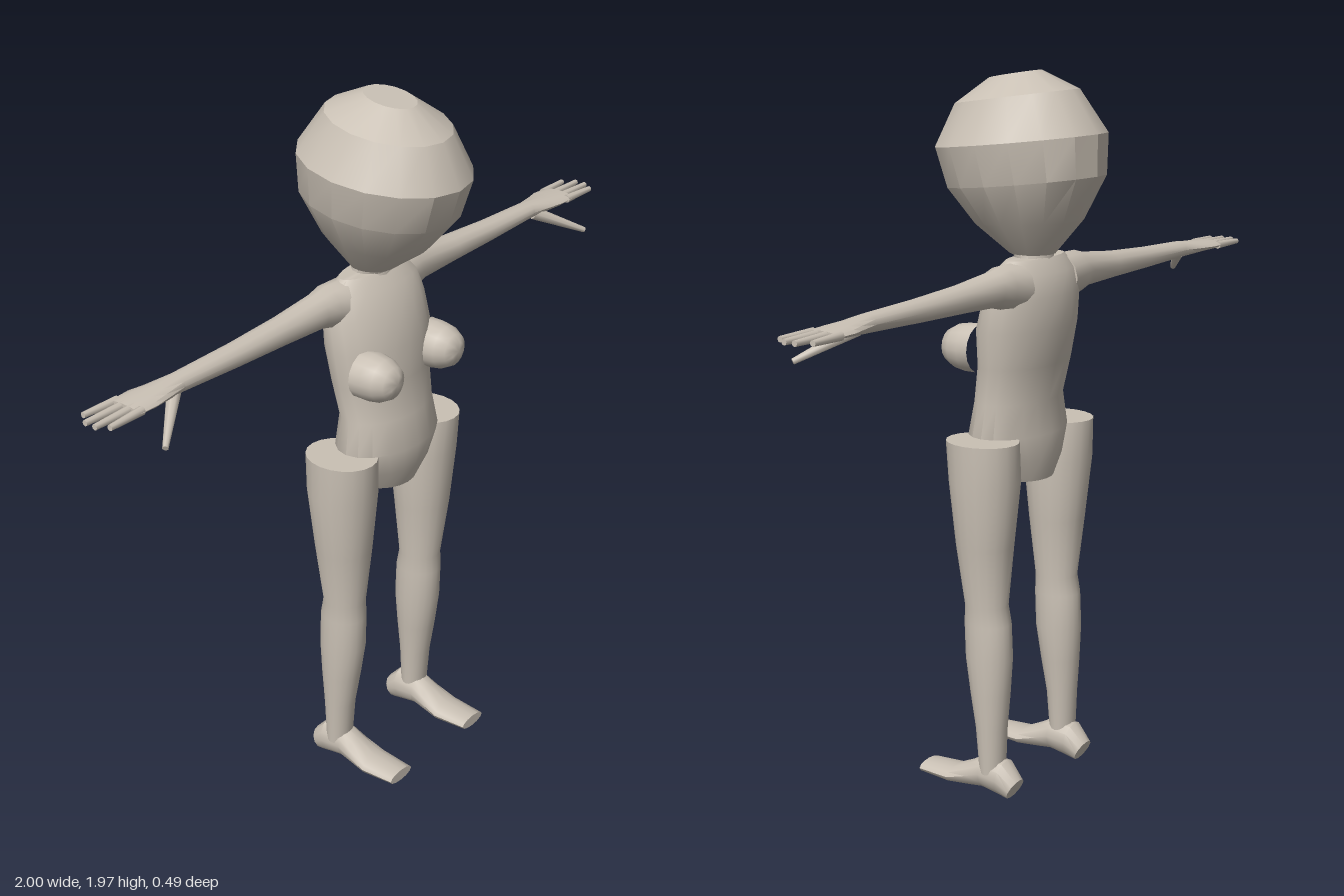
import * as THREE from 'three';
import { toCreasedNormals } from 'three/addons/utils/BufferGeometryUtils.js';

// Closed loft along y. Each ring: [y, centreX, centreZ, radiusX, radiusZ, slope of y over z]
function loft(rings, segs = 16, crease = 0.5) {
  const pos = [], index = [];
  for (const [y, cx, cz, rx, rz, slope = 0] of rings) {
    for (let j = 0; j < segs; j++) {
      const a = (j / segs) * Math.PI * 2;
      const dz = Math.cos(a) * rz;
      pos.push(cx + Math.sin(a) * rx, y + slope * dz, cz + dz);
    }
  }
  const last = rings.length - 1;
  const bottom = rings.length * segs, top = bottom + 1;
  for (const i of [0, last]) pos.push(rings[i][1], rings[i][0], rings[i][2]);
  for (let j = 0; j < segs; j++) {
    const k = (j + 1) % segs;
    for (let i = 0; i < last; i++) {
      const a = i * segs + j, b = i * segs + k, c = b + segs, d = a + segs;
      index.push(a, b, c, a, c, d);
    }
    index.push(bottom, k, j, top, last * segs + j, last * segs + k);
  }
  const geo = new THREE.BufferGeometry();
  geo.setAttribute('position', new THREE.Float32BufferAttribute(pos, 3));
  geo.setIndex(index);
  return toCreasedNormals(geo, crease);
}

export function createModel() {
  const model = new THREE.Group();
  model.name = 'mannequin';
  const skin = new THREE.MeshStandardMaterial({ color: 0xc9c0b4 });
  skin.name = 'warm grey';

  const add = (name, geo) => {
    const mesh = new THREE.Mesh(geo, skin);
    mesh.name = name;
    model.add(mesh);
    return mesh;
  };

  // Tapered rod between two points
  const rod = (name, from, to, r0, r1) => {
    const a = new THREE.Vector3(...from), b = new THREE.Vector3(...to);
    const dir = b.clone().sub(a);
    const mesh = add(name, new THREE.CylinderGeometry(r1, r0, dir.length(), 8));
    mesh.position.copy(a).add(b).multiplyScalar(0.5);
    mesh.quaternion.setFromUnitVectors(new THREE.Vector3(0, 1, 0), dir.normalize());
  };

  // Head, tilted slightly forward
  add('head', loft([
    [1.495, 0, -0.037, 0.06, 0.062, 0],
    [1.58, 0, -0.025, 0.13, 0.155, -0.07],
    [1.685, 0, -0.015, 0.19, 0.225, -0.11],
    [1.792, 0, 0.002, 0.208, 0.243, -0.11],
    [1.905, 0, 0.015, 0.15, 0.175, -0.14],
    [1.963, 0, 0.02, 0.06, 0.075, -0.17],
  ], 16, 0.42));

  // Neck
  add('neck', loft([
    [1.44, 0, -0.045, 0.085, 0.06],
    [1.485, 0, -0.042, 0.06, 0.05],
    [1.51, 0, -0.037, 0.06, 0.055],
  ]));

  // Torso, from the flat pelvis base up to the shoulders
  add('torso', loft([
    [0.88, 0, 0, 0.095, 0.085],
    [0.94, 0, 0.005, 0.135, 0.105],
    [1.01, 0, 0.01, 0.173, 0.112],
    [1.1, 0, 0.007, 0.157, 0.098],
    [1.2, 0, -0.012, 0.168, 0.1],
    [1.3, 0, -0.02, 0.18, 0.11],
    [1.39, 0, -0.035, 0.178, 0.097],
    [1.45, 0, -0.042, 0.165, 0.075],
    [1.487, 0, -0.045, 0.12, 0.045],
  ], 20, 0.7));

  for (const s of [1, -1]) {
    const side = s > 0 ? 'left' : 'right';

    // Chest
    const chest = add(side + 'Breast', toCreasedNormals(new THREE.LatheGeometry([
      [0.066, 0], [0.066, 0.035], [0.06, 0.07], [0.045, 0.098], [0.025, 0.11], [0, 0.113],
    ].map(([r, y]) => new THREE.Vector2(r, y)), 16), 0.7));
    chest.rotation.x = Math.PI / 2;
    chest.position.set(s * 0.13, 1.247, 0.04);

    // Arm and palm: [x, y, z, half height, half depth], laid out along x
    const arm = [
      [0.1, 1.418, -0.05, 0.065, 0.065],
      [0.17, 1.425, -0.055, 0.058, 0.055],
      [0.21, 1.425, -0.055, 0.048, 0.046],
      [0.35, 1.42, -0.055, 0.038, 0.04],
      [0.52, 1.417, -0.055, 0.031, 0.035],
      [0.72, 1.417, -0.057, 0.024, 0.032],
      [0.79, 1.416, -0.06, 0.018, 0.045],
      [0.83, 1.416, -0.062, 0.015, 0.054],
      [0.89, 1.415, -0.062, 0.011, 0.053],
    ];
    add(side + 'Arm', loft(arm.map(([x, y, z, ry, rz]) => [x, -s * y, z, ry, rz]), 12, 0.7))
      .rotation.z = -s * Math.PI / 2;

    // Fingers and thumb
    [[-0.104, -0.11, 0.975], [-0.075, -0.077, 1], [-0.047, -0.045, 1], [-0.021, -0.015, 0.98]]
      .forEach(([z0, z1, x], i) =>
        rod(`${side}Finger${i + 1}`, [s * 0.87, 1.415, z0], [s * x, 1.415, z1], 0.012, 0.008));
    rod(side + 'Thumb', [s * 0.74, 1.405, -0.045], [s * 0.868, 1.336, 0.048], 0.019, 0.008);

    // Leg with a flat top
    add(side + 'Leg', loft([
      [0.07, s * 0.172, -0.025, 0.04, 0.035],
      [0.2, s * 0.172, -0.022, 0.046, 0.043],
      [0.3, s * 0.17, -0.017, 0.054, 0.056],
      [0.4, s * 0.168, -0.012, 0.06, 0.067],
      [0.5, s * 0.168, -0.008, 0.059, 0.067],
      [0.55, s * 0.168, -0.004, 0.058, 0.06],
      [0.72, s * 0.172, -0.002, 0.077, 0.08],
      [0.9, s * 0.173, -0.003, 0.092, 0.1],
      [1.01, s * 0.178, 0, 0.088, 0.104],
    ], 20, 0.7));

    // Foot: [z, y, half width, half height, heel tilt], laid out along z
    const foot = [
      [-0.097, 0.032, 0.034, 0.03, 0.55],
      [-0.06, 0.06, 0.046, 0.05, 0.2],
      [0, 0.065, 0.043, 0.047, 0],
      [0.04, 0.052, 0.046, 0.037, 0],
      [0.1, 0.036, 0.053, 0.024, 0],
      [0.2, 0.036, 0.046, 0.017, 0],
    ];
    add(side + 'Foot', loft(foot.map(([z, y, rx, ry, t]) => [z, s * 0.168, -y, rx, ry, t]), 12, 0.7))
      .rotation.x = Math.PI / 2;
  }

  return model;
}
